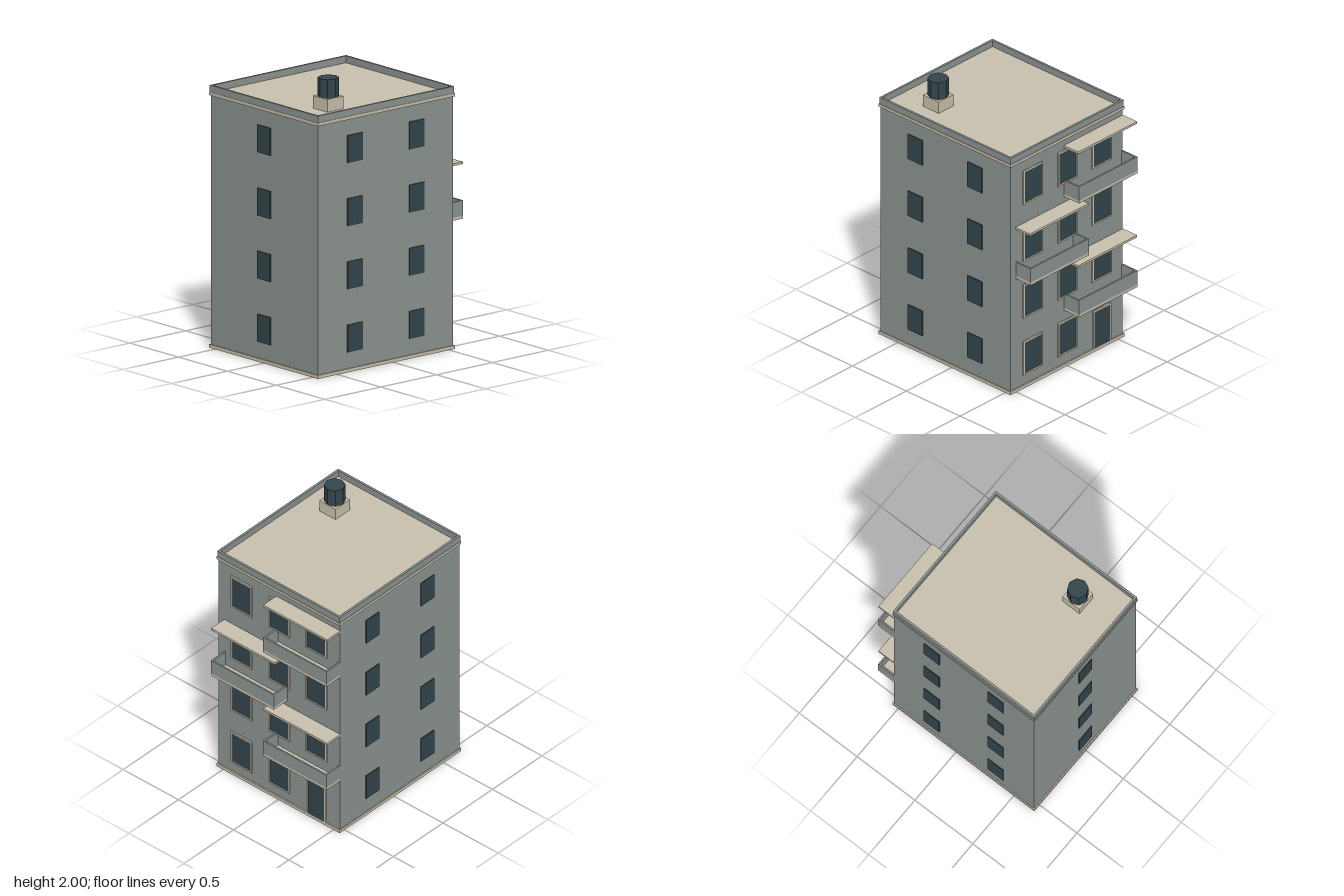
import * as THREE from 'three';

const mat = (name, color) => {
  const m = new THREE.MeshStandardMaterial({ color });
  m.name = name;
  return m;
};

export function createModel() {
  const wall = mat('grey wall', 0x8c9491);
  const trim = mat('beige trim', 0xc9c1ae);
  const dark = mat('dark glass', 0x33464c);
  const model = new THREE.Group();
  model.name = 'apartmentBuilding';

  // Box given by its lower and upper limits on each axis
  const box = (name, material, [x0, x1], [y0, y1], [z0, z1], parent = model) => {
    const mesh = new THREE.Mesh(new THREE.BoxGeometry(x1 - x0, y1 - y0, z1 - z0), material);
    mesh.position.set((x0 + x1) / 2, (y0 + y1) / 2, (z0 + z1) / 2);
    mesh.name = name;
    parent.add(mesh);
    return mesh;
  };

  const W = 0.55, BACK = -0.54, FRONT = 0.668;   // wall planes
  const TW = 0.558, TB = -0.55, TF = 0.677;      // trim planes
  const FLOOR = 0.44;

  // Main block, plinth, and roof slab whose edge is the cornice
  box('walls', wall, [-W, W], [0.02, 1.765], [BACK, FRONT]);
  box('plinth', trim, [-TW, TW], [0, 0.024], [TB, TF]);
  box('roofSlab', trim, [-TW, TW], [1.76, 1.782], [TB, TF]);

  // Parapet around the roof
  const PX = 0.554, PB = -0.547, PF = 0.674, T = 0.016;
  for (const s of [-1, 1]) {
    const xs = [s * PX, s * (PX - T)].sort((a, b) => a - b);
    box('parapetSide', wall, xs, [1.782, 1.83], [PB, PF]);
  }
  box('parapetFront', wall, [-PX + T, PX - T], [1.782, 1.83], [PF - T, PF]);
  box('parapetBack', wall, [-PX + T, PX - T], [1.782, 1.83], [PB, PB + T]);

  // Chimney: square base and eight-sided dark cowl
  box('chimneyBase', trim, [0.232, 0.378], [1.78, 1.87], [0.289, 0.435]);
  const cowlMat = mat('dark cowl', 0x33464c);
  cowlMat.flatShading = true;
  const cowl = new THREE.Mesh(new THREE.CylinderGeometry(0.073, 0.073, 0.13, 8), cowlMat);
  cowl.position.set(0.305, 1.935, 0.362);
  cowl.name = 'chimneyCowl';
  model.add(cowl);

  // Framed opening on the back wall: glass with four trim strips
  const backOpening = (name, x, y0, y1, w) => {
    const g = new THREE.Group();
    g.name = name;
    const h = w / 2, f = 0.012;
    box('glass', dark, [x - h + f, x + h - f], [y0, y1 - f], [BACK - 0.005, BACK + 0.002], g);
    for (const s of [-1, 1]) {
      const c = x + s * (h - f / 2);
      box('frameSide', trim, [c - f / 2, c + f / 2], [y0, y1], [TB, BACK], g);
    }
    box('frameTop', trim, [x - h + f, x + h - f], [y1 - f, y1], [TB, BACK], g);
    if (name === 'backWindow') {
      box('frameSill', trim, [x - h + f, x + h - f], [y0, y0 + f], [TB, BACK], g);
    }
    model.add(g);
  };

  for (let i = 0; i < 4; i++) {
    const y = i * FLOOR;
    const ys = [0.138 + y, 0.33 + y];

    // Plain windows on the front and both sides
    box('frontWindow', dark, [-0.068, 0.067], ys, [FRONT, FRONT + 0.007]);
    for (const z of [0.34, -0.213]) {
      box('leftWindow', dark, [W, W + 0.007], ys, [z - 0.067, z + 0.067]);
      box('rightWindow', dark, [-W - 0.007, -W], ys, [z - 0.067, z + 0.067]);
    }

    // Three openings per floor on the back, with a door at ground level
    for (const x of [0.335, -0.005, -0.342]) {
      if (i === 0 && x < -0.1) backOpening('backDoor', x, 0.024, 0.315, 0.175);
      else backOpening('backWindow', x, 0.1 + y, 0.36 + y, 0.19);
    }
  }

  // Balconies and canopies, alternating sides up the back
  const OUT = -0.677, B = 0.012;
  for (let i = 0; i < 3; i++) {
    const [x0, x1] = i === 1 ? [-0.075, 0.496] : [-0.551, 0.022];
    const y = 0.434 + i * FLOOR;
    const g = new THREE.Group();
    g.name = 'balcony';
    box('balconySlab', trim, [x0, x1], [y, y + 0.02], [OUT, BACK], g);
    box('balconyFront', wall, [x0, x1], [y + 0.02, y + 0.128], [OUT, OUT + B], g);
    box('balconyEnd', wall, [x0, x0 + B], [y + 0.02, y + 0.128], [OUT + B, BACK], g);
    box('balconyEnd', wall, [x1 - B, x1], [y + 0.02, y + 0.128], [OUT + B, BACK], g);
    model.add(g);
    box('canopy', trim, [x0 - 0.003, x1 + 0.003], [y + 0.381, y + 0.398], [OUT + 0.005, BACK]);
  }
  return model;
}
